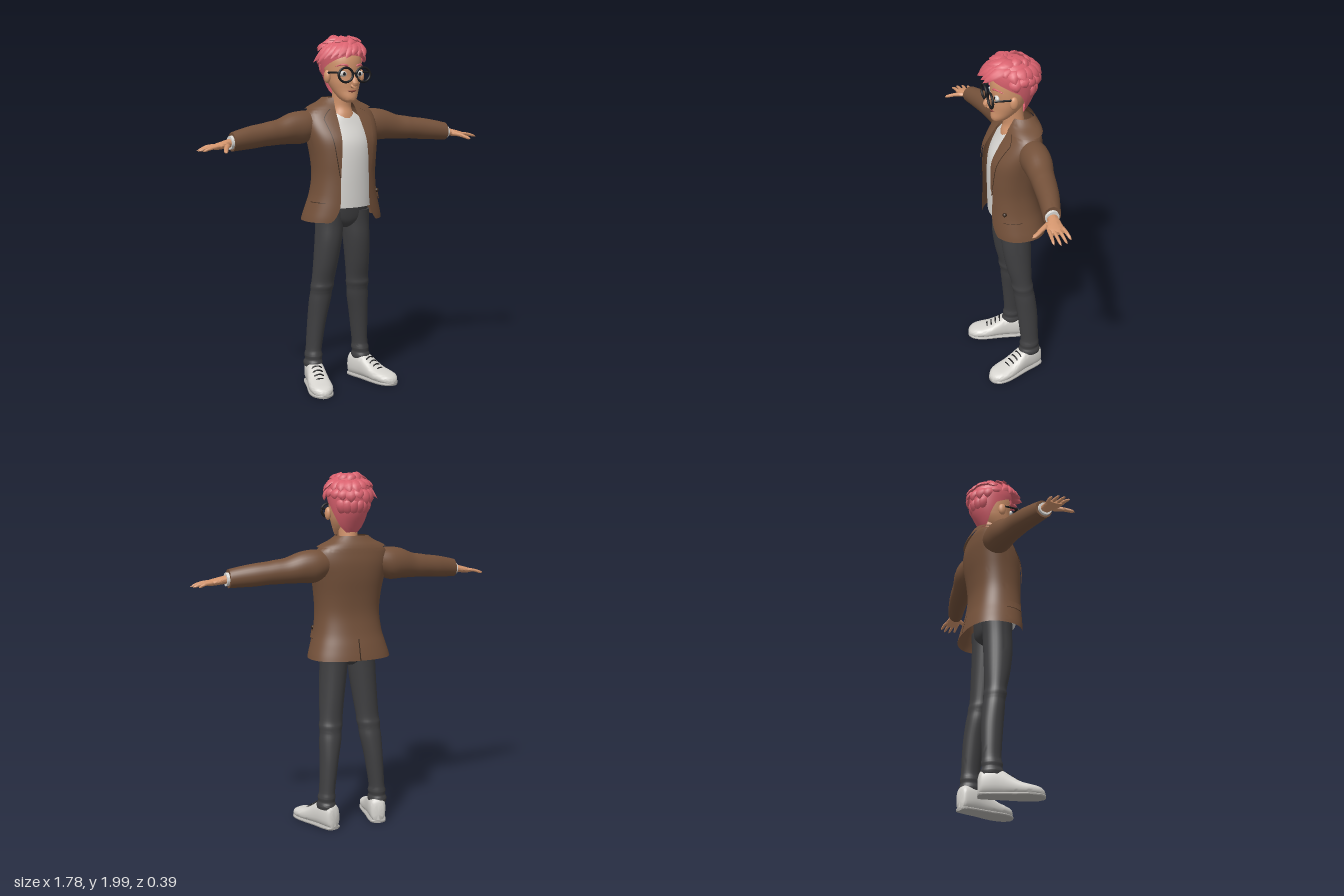
import * as THREE from 'three';
import { mergeVertices, toCreasedNormals } from 'three/addons/utils/BufferGeometryUtils.js';

const V = (x, y, z) => new THREE.Vector3(x, y, z);
const mat = (name, color, side = THREE.FrontSide) => new THREE.MeshStandardMaterial({ name, color, side });
const { lerp, degToRad } = THREE.MathUtils;
const spow = (c, n) => Math.sign(c) * Math.pow(Math.abs(c), 2 / n);

// Smooth interpolation through rows of numbers, t in row units
function sample(rows, t) {
  const last = rows.length - 1, i = Math.min(Math.floor(t), last - 1), f = t - i;
  const r = k => rows[Math.max(0, Math.min(last, k))];
  return rows[0].map((_, c) => {
    const a = r(i - 1)[c], b = r(i)[c], d = r(i + 1)[c], e = r(i + 2)[c];
    return b + 0.5 * f * (d - a + f * (2 * a - 5 * b + 4 * d - e + f * (3 * (b - d) + e - a)));
  });
}

// Surface from fn(u, v); closed shapes are turned to face outwards
function grid(nu, nv, fn) {
  const pts = [], idx = [], mid = V(0, 0, 0);
  for (let j = 0; j <= nv; j++) for (let i = 0; i <= nu; i++) pts.push(fn(i / nu, j / nv));
  pts.forEach(p => mid.addScaledVector(p, 1 / pts.length));
  let volume = 0;
  const tri = (a, b, c) => {
    idx.push(a, b, c);
    const [p, q, r] = [a, b, c].map(k => pts[k].clone().sub(mid));
    volume += p.dot(q.cross(r));
  };
  for (let j = 0; j < nv; j++) for (let i = 0; i < nu; i++) {
    const a = j * (nu + 1) + i, b = a + nu + 1;
    tri(a, a + 1, b); tri(a + 1, b + 1, b);
  }
  if (volume < 0) idx.reverse();
  const g = new THREE.BufferGeometry().setFromPoints(pts);
  g.setIndex(idx);
  return toCreasedNormals(mergeVertices(g, 1e-5), 1);
}

// Capped loft through rows [s, c1, c2, r1, r2] along an axis
function loft(rows, axis = 'y', side = 1, n = 2, segs = 28) {
  const nv = (rows.length - 1) * 4 + 2;
  return grid(segs, nv, (u, v) => {
    const j = Math.round(v * nv), t = Math.max(0, Math.min(nv - 2, j - 1)) / 4;
    const k = j === 0 || j === nv ? 0 : 1, a = (u === 1 ? 0 : u) * Math.PI * 2;
    const [s, c1, c2, r1, r2] = sample(rows, t);
    const p = c1 + k * r1 * spow(Math.cos(a), n), q = c2 + k * r2 * spow(Math.sin(a), n);
    const o = axis === 'y' ? V(p, s, q) : axis === 'x' ? V(s, p, q) : V(p, q, s);
    o.x *= side;
    return o;
  });
}
const body = rows => rows.map(([y, rx, f, b]) => [y, 0, (f + b) / 2, rx, (f - b) / 2]);

// Tapered strand along points; "out" gives the direction of its thickness
function strand(points, out, width, thick, taper, nv = 8, nu = 8) {
  const curve = new THREE.CatmullRomCurve3(points);
  return grid(nu, nv, (u, v) => {
    const t = curve.getTangent(v), w = t.clone().cross(out).normalize(), n = w.clone().cross(t);
    const k = v === 0 || v === 1 ? 0 : taper(v), a = (u === 1 ? 0 : u) * Math.PI * 2;
    return curve.getPoint(v).addScaledVector(w, Math.cos(a) * width * k).addScaledVector(n, Math.sin(a) * thick * k);
  });
}

export function createModel() {
  const model = new THREE.Group();
  const M = {
    jacket: mat('brown jacket', 0x74513a, THREE.DoubleSide), trim: mat('dark brown trim', 0x39281c, THREE.DoubleSide),
    shirt: mat('white shirt', 0xdcdad6), pants: mat('charcoal pants', 0x3f3f41), skin: mat('skin', 0xd2946c),
    hair: mat('pink hair', 0xd9616e, THREE.DoubleSide), black: mat('black frames', 0x1c1c1e),
    shoe: mat('pale shoe', 0xd6d4cf), sole: mat('grey sole', 0xb4b2ae), mouth: mat('lips', 0x8f4a3e),
  };
  const add = (name, geo, m, pos) => {
    const mesh = new THREE.Mesh(geo, m);
    mesh.name = name;
    if (pos) mesh.position.set(...pos);
    model.add(mesh);
    return mesh;
  };
  const ball = (name, m, pos, scale) => add(name, new THREE.SphereGeometry(1, 20, 14), m, pos).scale.set(...scale);

  // Jacket shell, open at the front: [y, half width, front z, back z, half opening]
  const coat = [[.97, .235, .14, -.186, .145], [1.0, .228, .142, -.18, .118], [1.05, .213, .143, -.168, .097],
    [1.12, .194, .142, -.15, .09], [1.22, .183, .14, -.136, .09], [1.32, .19, .14, -.142, .086], [1.42, .206, .128, -.155, .08],
    [1.5, .218, .086, -.158, .075], [1.56, .208, .045, -.15, .07], [1.592, .175, .025, -.143, .066],
    [1.618, .118, .01, -.13, .06], [1.645, .078, -.005, -.115, .052]];
  const angleAt = (t, x) => { const r = sample(coat, t); return Math.asin(Math.pow(Math.min(1, x / r[1]), 1.2)); };
  const onCoat = (t, a, off = 0) => {
    const [y, rx, f, b] = sample(coat, t);
    return V((rx + off) * spow(Math.sin(a), 2.4), y, (f + b) / 2 + ((f - b) / 2 + off) * spow(Math.cos(a), 2.4));
  };
  const edge = t => angleAt(t, sample(coat, t)[4]);
  add('jacket', grid(64, 44, (u, v) => onCoat(v * 11, lerp(edge(v * 11), 2 * Math.PI - edge(v * 11), u))), M.jacket);
  add('collar', grid(48, 8, (u, v) => {
    const t = lerp(8.7, 11, v), a = edge(t);
    return onCoat(t, lerp(a, 2 * Math.PI - a, u), .012).add(V(0, .006, 0));
  }), M.jacket);
  for (const s of [1, -1]) {
    // Lapels with a dark seam along their outer edge
    const outer = t => sample(coat, t)[4] + .07 * Math.min(1, (t - 4) / 3.5) - Math.max(0, t - 7.6) * .035;
    const strip = (from, to, off) => grid(8, 24, (u, v) => {
      const t = lerp(4, 9, v);
      return onCoat(t, s * angleAt(t, lerp(from(t), to(t), u)), off);
    });
    add('lapel', strip(t => sample(coat, t)[4] - .002, outer, .009), M.jacket);
    add('lapelSeam', strip(outer, t => outer(t) + .004, .006), M.trim);
    // Pocket flap
    const flap = (t0, t1, off) => grid(12, 3, (u, v) => onCoat(lerp(t0, t1, v), s * lerp(.9, 1.55, u), off));
    add('pocketFlap', flap(2.5, 3.0, .008), M.jacket);
    add('pocketSeam', flap(2.44, 2.5, .005), M.trim);
  }
  add('backVent', grid(2, 8, (u, v) => onCoat(v * 2.6, Math.PI + lerp(-.006, .006, u), .003)), M.trim);
  ball('button', M.trim, onCoat(3.1, 1.0, .003).toArray(), [.012, .012, .012]);

  // Shirt and neck
  add('shirt', loft(body([[1.045, .165, .118, -.1], [1.12, .165, .12, -.1], [1.25, .16, .122, -.1], [1.35, .165, .118, -.11],
    [1.42, .17, .104, -.12], [1.5, .16, .066, -.12], [1.545, .11, .046, -.11], [1.57, .075, .03, -.1]])), M.shirt);
  add('neck', loft(body([[1.52, .085, .052, -.1], [1.56, .068, .046, -.09], [1.6, .055, .036, -.08],
    [1.65, .052, .042, -.075], [1.72, .055, .05, -.07]])), M.skin);

  for (const s of [1, -1]) {
    // Sleeve, cuff and hand
    add('sleeve', loft([[.14, 1.505, -.06, .065, .065], [.22, 1.49, -.062, .09, .08], [.3, 1.485, -.058, .085, .076],
      [.38, 1.47, -.047, .07, .066], [.44, 1.464, -.038, .066, .063], [.48, 1.46, -.032, .063, .061],
      [.55, 1.452, -.02, .062, .057], [.62, 1.444, -.004, .057, .052], [.685, 1.435, .012, .051, .047]], 'x', s), M.jacket);
    add('shirtCuff', loft([[.66, 1.434, .013, .038, .037], [.7, 1.431, .015, .036, .036]], 'x', s), M.shirt);
    add('palm', loft([[.67, 1.432, .015, .026, .029], [.71, 1.429, .017, .022, .029], [.74, 1.423, .024, .02, .039],
      [.78, 1.416, .029, .016, .044], [.805, 1.412, .031, .009, .038]], 'x', s), M.skin);
    [[-.006, .858, -.022], [.018, .884, .008], [.042, .89, .041], [.062, .874, .072]].forEach(([z, x, tipZ]) =>
      add('finger', strand([V(s * .765, 1.419, z), V(s * .82, 1.414, lerp(z, tipZ, .5)), V(s * x, 1.398, tipZ)],
        V(0, 1, 0), .0115, .0105, v => 1 - .35 * v - .3 * v ** 8), M.skin));
    add('thumb', strand([V(s * .715, 1.423, .03), V(s * .745, 1.415, .08), V(s * .765, 1.404, .115), V(s * .778, 1.393, .148)],
      V(0, 1, 0), .016, .013, v => 1 - .4 * v), M.skin);

    // Trouser leg with knee and ankle folds
    add('leg', loft([[1.02, .08, -.01, .082, .088], [.95, .084, -.01, .079, .083], [.85, .092, -.01, .076, .082],
      [.72, .104, -.02, .07, .072], [.62, .113, -.033, .066, .06], [.585, .117, -.037, .068, .063], [.55, .12, -.043, .063, .059],
      [.5, .125, -.05, .063, .061], [.4, .137, -.061, .054, .06], [.3, .147, -.068, .048, .056], [.21, .155, -.072, .044, .053],
      [.18, .157, -.071, .05, .058], [.155, .158, -.07, .046, .056], [.135, .16, -.07, .053, .064], [.115, .16, -.07, .05, .062]],
      'y', s), M.pants);

    // Shoe, turned outwards
    const shoe = new THREE.Group();
    shoe.name = 'shoe';
    shoe.position.set(s * .17, 0, -.02);
    shoe.rotation.y = s * degToRad(16);
    model.add(shoe);
    const part = (name, geo, m) => { add(name, geo, m); shoe.add(model.children[model.children.length - 1]); };
    const last = [[-.125, .026, .1], [-.112, .042, .135], [-.07, .05, .148], [-.01, .053, .145], [.04, .058, .115],
      [.09, .064, .085], [.14, .066, .07], [.185, .056, .06], [.212, .034, .046], [.222, .014, .032]];
    part('upper', loft(last.map(([z, r, h]) => [z, 0, h / 2 + .003, r, h / 2 - .003]), 'z', 1, 2.6), M.shoe);
    part('sole', loft(last.map(([z, r]) => [z * 1.01, 0, .009, r + .002, .009]), 'z', 1, 4), M.sole);
    for (let i = 0; i < 4; i++) {
      const z = .025 + i * .026, y = .128 - i * .0165;
      part('lace', strand([V(-.034, y - .018, z), V(-.016, y, z + .003), V(.016, y, z + .003), V(.034, y - .018, z)],
        V(0, 1, 0), .004, .004, () => 1), M.black);
    }

    // Ear, eye, brow and glasses for one side
    ball('ear', M.skin, [s * .108, 1.766, .012], [.017, .036, .023]);
    ball('eye', M.shirt, [s * .05, 1.782, .087], [.025, .016, .012]);
    ball('iris', M.black, [s * .049, 1.782, .097], [.009, .01, .004]);
    add('brow', strand([V(s * .022, 1.822, .102), V(s * .055, 1.832, .094), V(s * .088, 1.82, .062)],
      V(0, 0, 1), .007, .006, v => 1 - .6 * v), M.hair);
    add('glassesRim', new THREE.TorusGeometry(.041, .0065, 10, 32), M.black, [s * .055, 1.777, .124]).scale.set(1.08, .95, 1);
    add('glassesTemple', strand([V(s * .1, 1.79, .124), V(s * .109, 1.79, .07), V(s * .111, 1.785, .005)],
      V(1, 0, 0), .006, .004, () => 1), M.black);
  }
  add('glassesBridge', new THREE.BoxGeometry(.026, .009, .009), M.black, [0, 1.784, .126]);
  add('hips', loft(body([[.925, .03, .04, -.06], [.95, .09, .065, -.085], [.99, .155, .078, -.1], [1.08, .158, .09, -.105]])), M.pants);

  // Head and face
  add('head', loft(body([[1.626, .02, .088, .045], [1.635, .036, .1, .02], [1.655, .053, .104, -.01], [1.69, .072, .1, -.05],
    [1.73, .088, .101, -.08], [1.77, .097, .1, -.098], [1.81, .102, .104, -.112], [1.86, .103, .1, -.115],
    [1.905, .09, .08, -.1], [1.94, .055, .045, -.065]])), M.skin);
  add('nose', strand([V(0, 1.8, .096), V(0, 1.765, .113), V(0, 1.735, .134), V(0, 1.718, .118), V(0, 1.715, .095)],
    V(0, .6, 1), .018, .014, v => .45 + .6 * Math.sin(v * 2.6)), M.skin);
  add('mouth', strand([V(-.03, 1.69, .094), V(0, 1.687, .102), V(.03, 1.692, .094)], V(0, 0, 1), .004, .004,
    v => .4 + Math.sin(v * Math.PI)), M.mouth);

  // Hair cap: low at the nape, higher over ears and forehead
  const cap = body([[1.665, .052, .0, -.072], [1.7, .078, .05, -.095], [1.76, .099, .08, -.128], [1.82, .111, .1, -.145],
    [1.88, .117, .11, -.146], [1.93, .108, .1, -.128], [1.965, .074, .06, -.085], [1.978, .003, -.01, -.016]]);
  add('hairCap', grid(40, 24, (u, v) => {
    const a = u * Math.PI * 2, c = Math.cos(a);
    const low = c > 0 ? 2.8 + 1.2 * c : 2.8 * (1 - Math.min(1, -c * 1.25));
    const [y, , cz, rx, rz] = sample(cap, lerp(low, 7, v));
    return V(rx * Math.sin(a), y, cz + rz * c);
  }), M.hair);

  // Locks sweep over an ellipsoid from (azimuth, elevation) to a lifted tip
  let seed = 7;
  const rnd = () => (seed = (seed * 16807) % 2147483647) / 2147483647 - .5;
  const lock = (az0, el0, az1, el1, lift, width) => {
    const pts = [0, .33, .67, 1].map(k => {
      const az = degToRad(lerp(az0, az1, k)), el = degToRad(lerp(el0, el1, k)), m = lerp(.9, lift, k * k) + .1 * Math.sin(k * Math.PI);
      return V(.12 * m * Math.sin(az) * Math.cos(el), 1.86 + .115 * m * Math.sin(el), -.018 + .13 * m * Math.cos(az) * Math.cos(el));
    });
    const out = pts[1].clone().sub(V(0, 1.86, -.018)).normalize();
    add('hairLock', strand(pts, out, width, .014, v => Math.pow(Math.sin(Math.PI * (.2 + .8 * v)), .8)), M.hair);
  };
  // Fringe swept to the right side
  for (let i = 0; i < 9; i++) lock(55 - i * 12, 62, 14 - i * 13, 10 - i * 2.2 + rnd() * 10, 1.38 + .02 * i + rnd() * .1, .034);
  for (let i = 0; i < 7; i++) lock(70 - i * 20, 78, 25 - i * 19, 36 + rnd() * 12, 1.3 + rnd() * .14, .036);
  // Upright tufts on the crown
  for (let i = 0; i < 8; i++) lock(100 + i * 40, 50, 80 + i * 40, 70 + rnd() * 16, 1.17 + rnd() * .08, .03);
  // Sides and back
  for (let i = 0; i < 11; i++) lock(45 + i * 21, 52, 58 + i * 20, 14 + rnd() * 24, 1.2 + rnd() * .16, .034);
  for (let i = 0; i < 10; i++) lock(75 + i * 21, 22, 82 + i * 20, -10 + rnd() * 20, 1.12 + rnd() * .14, .032);
  // Nape
  for (let i = 0; i < 6; i++) lock(130 + i * 20, -5, 138 + i * 17, -60 + rnd() * 8, 1.12, .026);
  return model;
}
